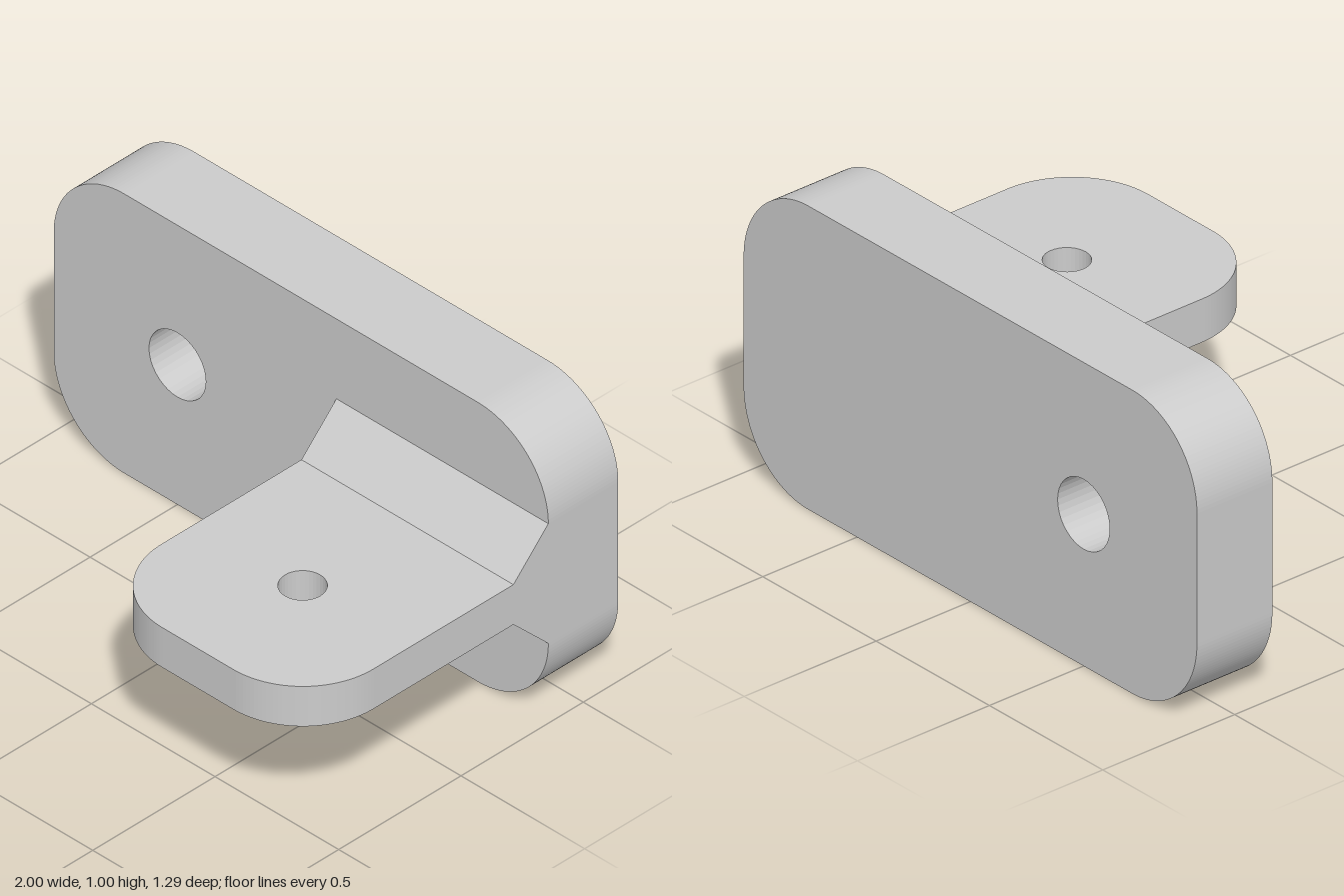
import * as THREE from 'three';

const U = 1 / 7; // design module: every dimension is a multiple of this

function addHole(shape, x, y, r) {
  const hole = new THREE.Path();
  hole.absarc(x, y, r, 0, Math.PI * 2, true);
  shape.holes.push(hole);
}

function extrude(shape, depth) {
  return new THREE.ExtrudeGeometry(shape, { depth, bevelEnabled: false, curveSegments: 18 });
}

export function createModel() {
  const group = new THREE.Group();
  const material = new THREE.MeshStandardMaterial({ color: 0xcccccc });
  const add = (name, geometry) => {
    const mesh = new THREE.Mesh(geometry, material);
    mesh.name = name;
    group.add(mesh);
  };
  const R = 2 * U; // corner radius shared by plate and tab
  const back = -4.5 * U, plateFront = -2.5 * U, tabStart = -1.5 * U, tabEnd = 4.5 * U;
  const left = U, right = 1;

  // Upright mounting plate with four rounded corners and a bolt hole
  const plate = new THREE.Shape();
  plate.absarc(1 - R, R, R, -Math.PI / 2, 0);
  plate.absarc(1 - R, 1 - R, R, 0, Math.PI / 2);
  plate.absarc(R - 1, 1 - R, R, Math.PI / 2, Math.PI);
  plate.absarc(R - 1, R, R, Math.PI, Math.PI * 1.5);
  plate.closePath();
  addHole(plate, -0.5, 0.5, 0.115);
  add('mountingPlate', extrude(plate, 2 * U).translate(0, 0, back));

  // Horizontal tab, drawn in plan (shape y = -z), rounded at its free end
  const tab = new THREE.Shape();
  tab.moveTo(right, -tabStart);
  tab.lineTo(left, -tabStart);
  tab.absarc(left + R, R - tabEnd, R, Math.PI, Math.PI * 1.5);
  tab.absarc(right - R, R - tabEnd, R, Math.PI * 1.5, Math.PI * 2);
  tab.closePath();
  addHole(tab, 4 * U, -1.5 * U, 0.5 * U);
  add('tab', extrude(tab, U).rotateX(-Math.PI / 2).translate(0, 3 * U, 0));

  // Chamfered root joining tab to plate, drawn in side profile (shape x = z)
  const root = new THREE.Shape([
    new THREE.Vector2(plateFront, 2 * U),
    new THREE.Vector2(tabStart, 3 * U),
    new THREE.Vector2(tabStart, 4 * U),
    new THREE.Vector2(plateFront, 5 * U),
  ]);
  add('chamferedRoot', extrude(root, right - left).rotateY(-Math.PI / 2).translate(right, 0, 0));

  return group;
}
